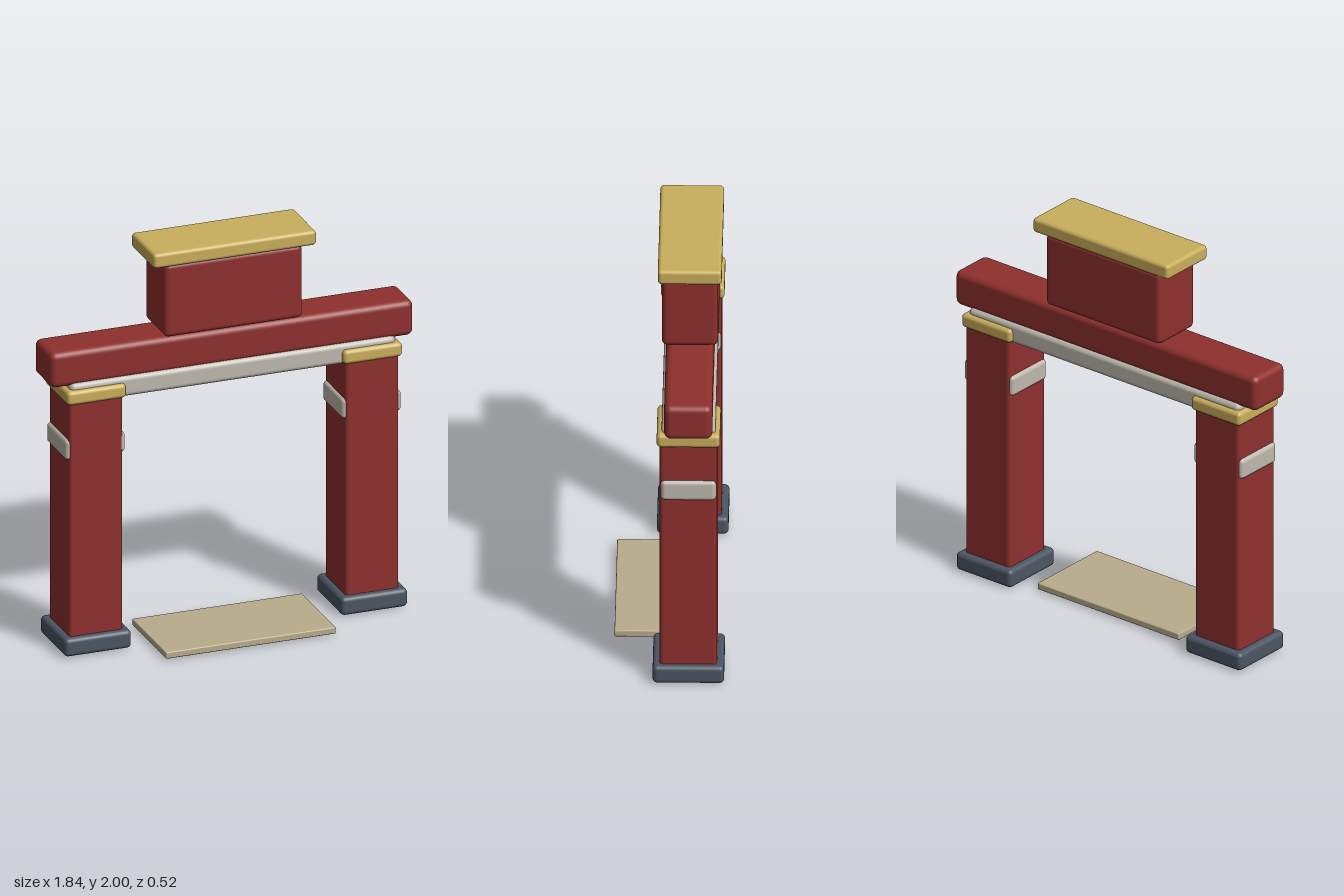
import * as THREE from 'three';
import { RoundedBoxGeometry } from 'three/addons/geometries/RoundedBoxGeometry.js';

const material = (color) => new THREE.MeshStandardMaterial({ color });

export function createModel() {
  const gate = new THREE.Group();
  gate.name = 'gateway';
  const red = material(0x8f302d);
  const gold = material(0xc9ae5c);
  const slate = material(0x4b5563);
  const stone = material(0xbfb9ae);
  const sand = material(0xb8ac8c);
  const gateZ = -0.093; // centre plane of the gate

  // Rounded block placed by its centre x, bottom and top heights, and centre z
  function block(parent, name, mat, width, bottom, top, depth, radius, x = 0, z = gateZ) {
    const mesh = new THREE.Mesh(new RoundedBoxGeometry(width, top - bottom, depth, 4, radius), mat);
    mesh.name = name;
    mesh.position.set(x, (bottom + top) / 2, z);
    parent.add(mesh);
  }

  // Two posts with foot, capital and side bands
  for (const side of [-1, 1]) {
    const post = new THREE.Group();
    post.name = side > 0 ? 'leftPost' : 'rightPost';
    post.position.x = side * 0.7;
    block(post, 'foot', slate, 0.338, 0.008, 0.1, 0.338, 0.022);
    block(post, 'shaft', red, 0.272, 0, 1.32, 0.272, 0.018);
    block(post, 'capital', gold, 0.3, 1.287, 1.358, 0.3, 0.02);
    for (const face of [-1, 1]) {
      block(post, 'sideBand', stone, 0.045, 1.0, 1.105, 0.26, 0.02, face * 0.129);
    }
    gate.add(post);
  }

  // Crossbeams
  block(gate, 'lowerBeam', stone, 1.65, 1.282, 1.387, 0.255, 0.025);
  block(gate, 'mainBeam', red, 1.84, 1.37, 1.55, 0.228, 0.032);

  // Raised centre block and its lid
  block(gate, 'centreBlock', red, 0.698, 1.555, 1.93, 0.266, 0.025);
  block(gate, 'lid', gold, 0.826, 1.925, 2.0, 0.302, 0.018);

  // Threshold slab, set forward of the posts
  block(gate, 'thresholdSlab', sand, 0.862, 0.01, 0.044, 0.445, 0.006, 0, 0.04);

  return gate;
}
